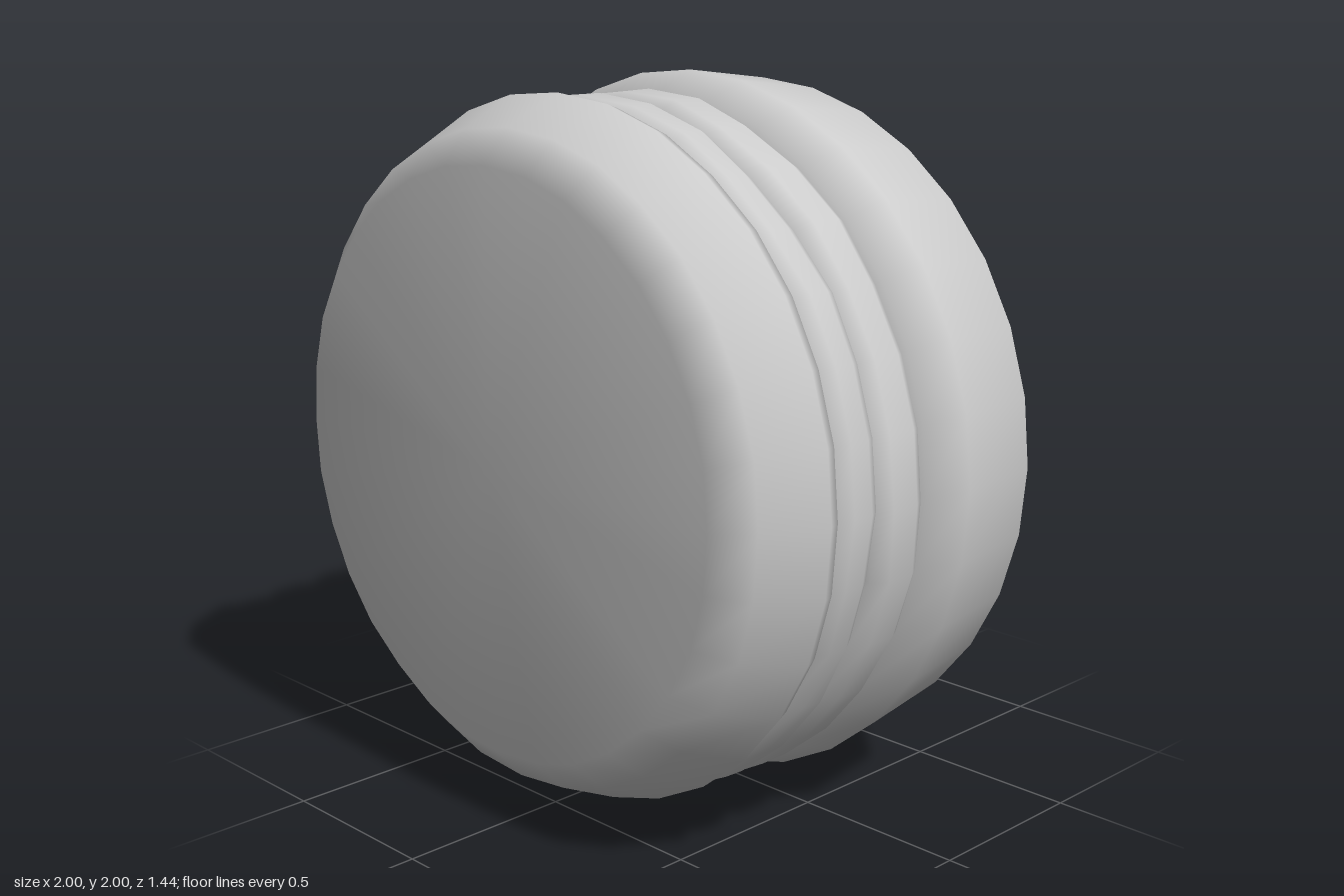
import * as THREE from 'three';
import { mergeVertices } from 'three/addons/utils/BufferGeometryUtils.js';

const SIDES = 32;
const material = new THREE.MeshStandardMaterial({ color: 0xcccccc });

// Turns a [radius, z] profile (rising z) around the z axis, with an optional uneven rim.
function layer(name, profile, { x = 0, y = 0, wobble = 0, phase = 0 } = {}) {
  const points = profile.map(([r, z]) => new THREE.Vector2(r, z));
  let geometry = new THREE.LatheGeometry(points, SIDES);
  geometry.rotateX(Math.PI / 2);
  const pos = geometry.attributes.position;
  for (let i = 0; i < pos.count; i++) {
    const px = pos.getX(i), py = pos.getY(i), pz = pos.getZ(i);
    const r = Math.hypot(px, py);
    if (r < 0.5) continue;
    const a = Math.atan2(py, px);
    const wave = Math.sin(7 * a + phase) * 0.5 + Math.sin(11 * a + 2 * phase) * 0.5;
    const bulge = Math.sin(5 * a + 3 * phase) * 0.6 + Math.sin(9 * a + pz * 8) * 0.4;
    const s = 1 + wobble * 0.6 * bulge;
    pos.setXYZ(i, px * s, py * s, pz + wobble * wave);
  }
  // Weld the seam so that the shading is continuous
  geometry.deleteAttribute('uv');
  geometry.deleteAttribute('normal');
  geometry = mergeVertices(geometry, 1e-4);
  geometry.computeVertexNormals();
  const mesh = new THREE.Mesh(geometry, material);
  mesh.name = name;
  mesh.position.set(x, y, 0);
  return mesh;
}

export function createModel() {
  const group = new THREE.Group();
  group.name = 'burger';
  const stack = new THREE.Group();
  stack.name = 'stack';
  stack.position.y = 1;
  group.add(stack);

  // Domed bun at the back
  stack.add(layer('topBun', [
    [0, -0.722], [0.17, -0.72], [0.62, -0.61], [0.825, -0.49],
    [0.963, -0.325], [1, -0.03], [0.95, 0.085], [0.8, 0.1], [0, 0.1],
  ]));

  // Two uneven fillings
  stack.add(layer('patty', [
    [0, 0.06], [0.88, 0.065], [0.945, 0.08], [0.966, 0.12],
    [0.966, 0.21], [0.94, 0.258], [0.88, 0.27], [0, 0.27],
  ], { x: -0.013, y: -0.01, wobble: 0.011, phase: 0.7 }));
  stack.add(layer('filling', [
    [0, 0.24], [0.88, 0.245], [0.93, 0.262], [0.955, 0.305],
    [0.952, 0.365], [0.93, 0.412], [0.88, 0.425], [0, 0.425],
  ], { x: 0.005, wobble: 0.009, phase: 2.1 }));

  // Flat bun at the front
  stack.add(layer('bottomBun', [
    [0, 0.405], [0.88, 0.405], [0.95, 0.412], [0.964, 0.45],
    [0.885, 0.62], [0.795, 0.7], [0, 0.718],
  ], { x: -0.003, y: 0.003, wobble: 0.003, phase: 1.3 }));

  return group;
}
